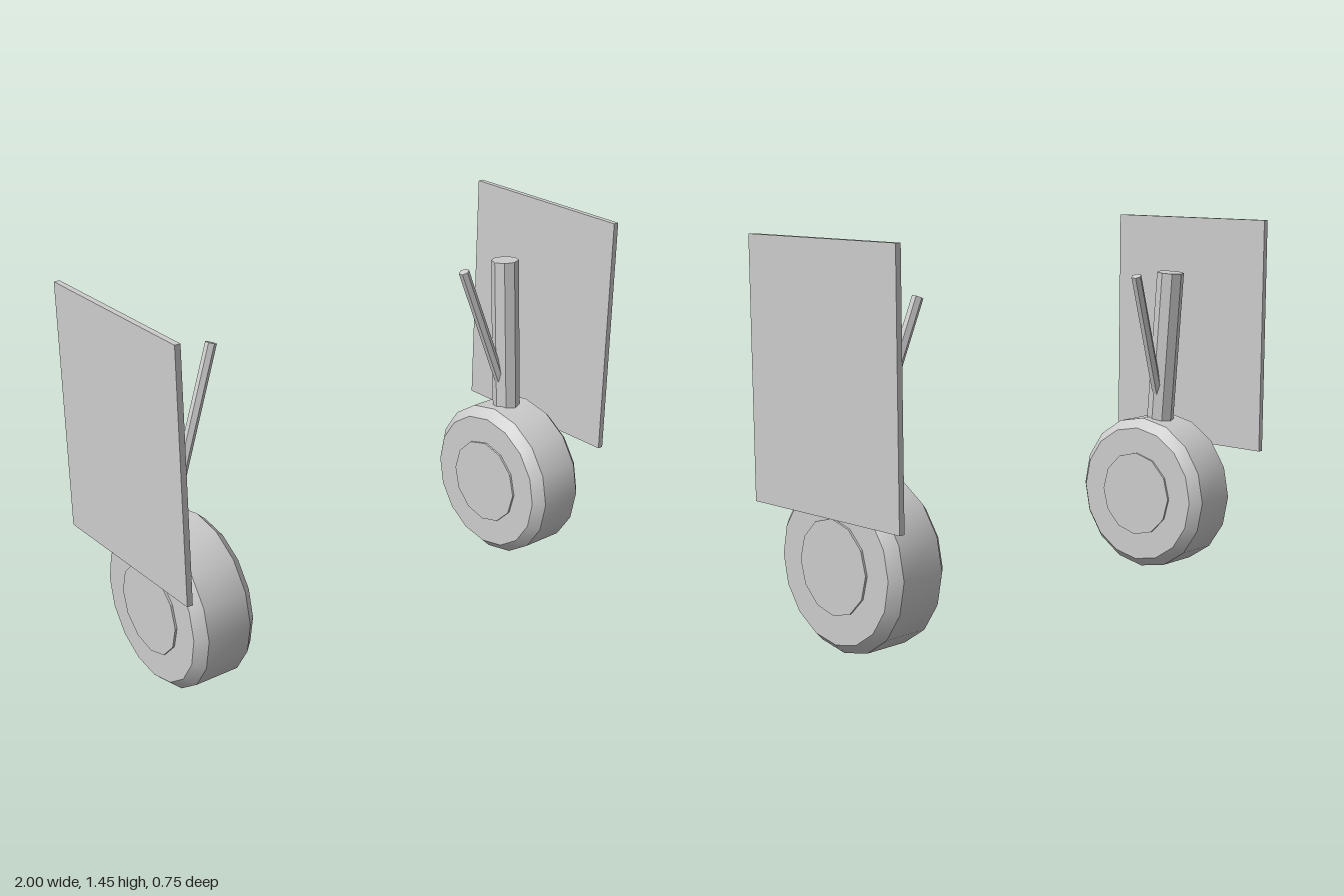
import * as THREE from 'three';
import { toCreasedNormals } from 'three/addons/utils/BufferGeometryUtils.js';

const grey = new THREE.MeshStandardMaterial({ color: 0xcccccc });
grey.name = 'plain grey';

function part(name, geometry) {
  const mesh = new THREE.Mesh(toCreasedNormals(geometry, THREE.MathUtils.degToRad(28)), grey);
  mesh.name = name;
  return mesh;
}

// Closed rod between two points
function rod(name, from, to, radius, sides) {
  const dir = to.clone().sub(from);
  const mesh = part(name, new THREE.CylinderGeometry(radius, radius, dir.length(), sides));
  mesh.position.copy(from).addScaledVector(dir, 0.5);
  mesh.quaternion.setFromUnitVectors(new THREE.Vector3(0, 1, 0), dir.normalize());
  return mesh;
}

function createSide(name, s) {
  const side = new THREE.Group();
  side.name = name;
  const at = (x, y, z) => new THREE.Vector3(s * x, y, z);

  // Tyre with bevelled shoulders
  const profile = [[0, -0.125], [0.277, -0.125], [0.314, -0.087], [0.314, 0.087], [0.277, 0.125], [0, 0.125]]
    .map(([r, h]) => new THREE.Vector2(r, h));
  const tyre = part('tyre', new THREE.LatheGeometry(profile, 16).rotateZ(Math.PI / 2));
  tyre.position.copy(at(0.812, 0.314, 0.03));

  // Hub disc standing slightly proud on both faces
  const hub = part('hub', new THREE.CylinderGeometry(0.172, 0.172, 0.266, 12).rotateZ(Math.PI / 2));
  hub.position.copy(at(0.812, 0.315, 0.03));

  // Main leg leaning slightly back, with its inward brace
  const strut = rod('strut', at(0.812, 0.315, 0.03), at(0.812, 1.228, -0.035), 0.055, 8);
  const brace = rod('brace', at(0.81, 0.65, 0.005), at(0.593, 1.226, -0.035), 0.021, 6);

  // Outer door panel
  const door = part('door', new THREE.BoxGeometry(0.022, 0.94, 0.752));
  door.position.copy(at(0.989, 0.975, 0));

  side.add(tyre, hub, strut, brace, door);
  return side;
}

export function createModel() {
  const model = new THREE.Group();
  model.name = 'landingGear';
  model.add(createSide('leftGear', 1), createSide('rightGear', -1));
  return model;
}
